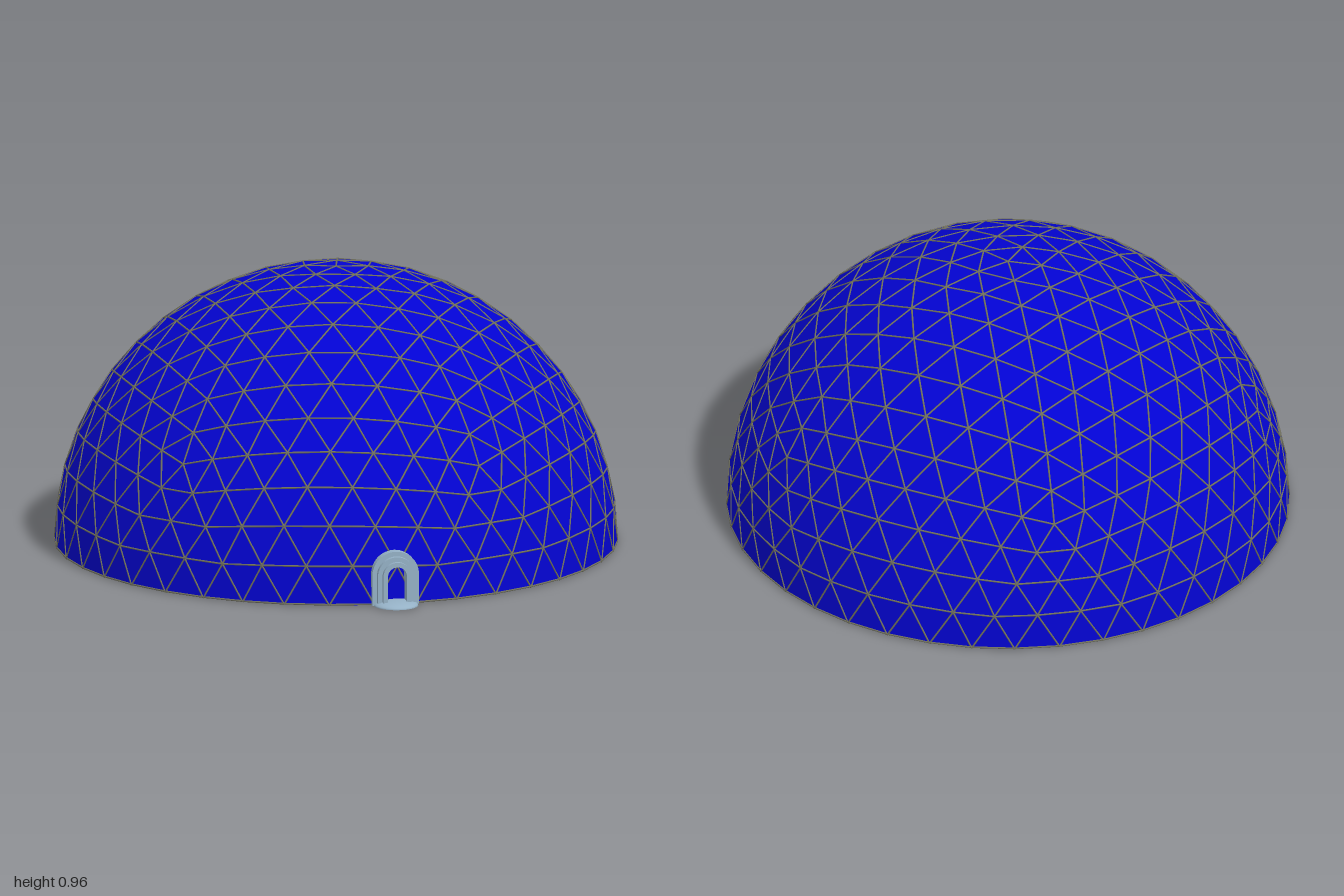
import * as THREE from 'three';
import { mergeGeometries } from 'three/addons/utils/BufferGeometryUtils.js';

const R = 0.955;          // dome radius
const CENTRE_Z = -0.045;  // dome centre, leaving room for the porch
const STRUT = 0.0032;     // strut radius

const paint = (name, color, extra = {}) =>
  Object.assign(new THREE.MeshStandardMaterial({ color, ...extra }), { name });

// Upper half of a frequency-8 geodesic sphere with a vertex at the apex
function domeGeometry() {
  const sphere = new THREE.IcosahedronGeometry(R, 7);
  const vertex = new THREE.Vector3(0, 1, (1 + Math.sqrt(5)) / 2).normalize();
  sphere.applyQuaternion(new THREE.Quaternion().setFromUnitVectors(vertex, new THREE.Vector3(0, 1, 0)));
  sphere.rotateY(Math.PI / 8);
  const p = sphere.attributes.position;
  const kept = [];
  for (let i = 0; i < p.count; i += 3) {
    if (p.getY(i) + p.getY(i + 1) + p.getY(i + 2) < 0.01) continue;
    for (let k = i; k < i + 3; k++) kept.push(p.getX(k), Math.max(0, p.getY(k)), p.getZ(k));
  }
  const geometry = new THREE.BufferGeometry();
  geometry.setAttribute('position', new THREE.Float32BufferAttribute(kept, 3));
  geometry.computeVertexNormals();
  return geometry;
}

// One slim bar along every edge of the dome panels
function strutGeometry(dome) {
  const p = dome.attributes.position;
  const seen = new Set();
  const bars = [];
  const up = new THREE.Vector3(0, 1, 0);
  const key = (v) => v.toArray().map((n) => Math.round(n * 1000)).join(',');
  for (let i = 0; i < p.count; i += 3) {
    for (let k = 0; k < 3; k++) {
      const a = new THREE.Vector3().fromBufferAttribute(p, i + k);
      const b = new THREE.Vector3().fromBufferAttribute(p, i + (k + 1) % 3);
      const id = [key(a), key(b)].sort().join('|');
      if (seen.has(id)) continue;
      seen.add(id);
      const dir = b.clone().sub(a);
      const bar = new THREE.CylinderGeometry(STRUT, STRUT, dir.length(), 8, 1, true);
      bar.applyQuaternion(new THREE.Quaternion().setFromUnitVectors(up, dir.normalize()));
      const mid = a.add(b).multiplyScalar(0.5);
      bar.translate(mid.x, Math.max(mid.y, STRUT), mid.z);
      bars.push(bar);
    }
  }
  return mergeGeometries(bars);
}

// Round-headed arch band standing on the ground, from back z to front z
function archGeometry(outer, inner, spring, back, front) {
  const s = new THREE.Shape();
  s.moveTo(outer, 0);
  s.lineTo(outer, spring);
  s.absarc(0, spring, outer, 0, Math.PI, false);
  s.lineTo(-outer, 0);
  s.lineTo(-inner, 0);
  s.lineTo(-inner, spring);
  s.absarc(0, spring, inner, Math.PI, 0, true);
  s.lineTo(inner, 0);
  s.closePath();
  const g = new THREE.ExtrudeGeometry(s, { depth: front - back, bevelEnabled: false, curveSegments: 12 });
  g.translate(0, 0, back);
  return g;
}

export function createModel() {
  const blue = paint('panel blue', 0x0303d2, { flatShading: true });
  const olive = paint('strut olive grey', 0x70705e);
  const steel = paint('pale steel', 0x95b1c6);

  const model = new THREE.Group();
  model.name = 'geodesicDome';
  const add = (name, geometry, material, parent = model) => {
    const mesh = new THREE.Mesh(geometry, material);
    mesh.name = name;
    parent.add(mesh);
    return mesh;
  };

  // Dome shell, struts and floor
  const dome = domeGeometry();
  add('domePanels', dome, blue).position.z = CENTRE_Z;
  add('domeStruts', strutGeometry(dome), olive).position.z = CENTRE_Z;
  const floor = new THREE.CircleGeometry(R, 80);
  floor.rotateX(Math.PI / 2);
  add('floor', floor, steel).position.z = CENTRE_Z;

  // Entrance: three stepped arches, the inner ones reaching further out
  const entrance = new THREE.Group();
  entrance.name = 'entrance';
  model.add(entrance);
  [[0.081, 0.065, 0.919], [0.065, 0.049, 0.935], [0.049, 0.033, 0.948]].forEach(([outer, inner, front], i) =>
    add(`doorArch${i + 1}`, archGeometry(outer, inner, 0.104, 0.86, front), steel, entrance));

  // Low rounded doorstep with a flat underside
  const step = new THREE.SphereGeometry(0.076, 24, 6, 0, Math.PI * 2, 0, Math.PI / 2);
  step.scale(1, 0.25, 1);
  add('doorstep', step, steel, entrance).position.z = 0.924;
  const sole = new THREE.CircleGeometry(0.076, 24);
  sole.rotateX(Math.PI / 2);
  add('doorstepUnderside', sole, steel, entrance).position.z = 0.924;

  return model;
}
